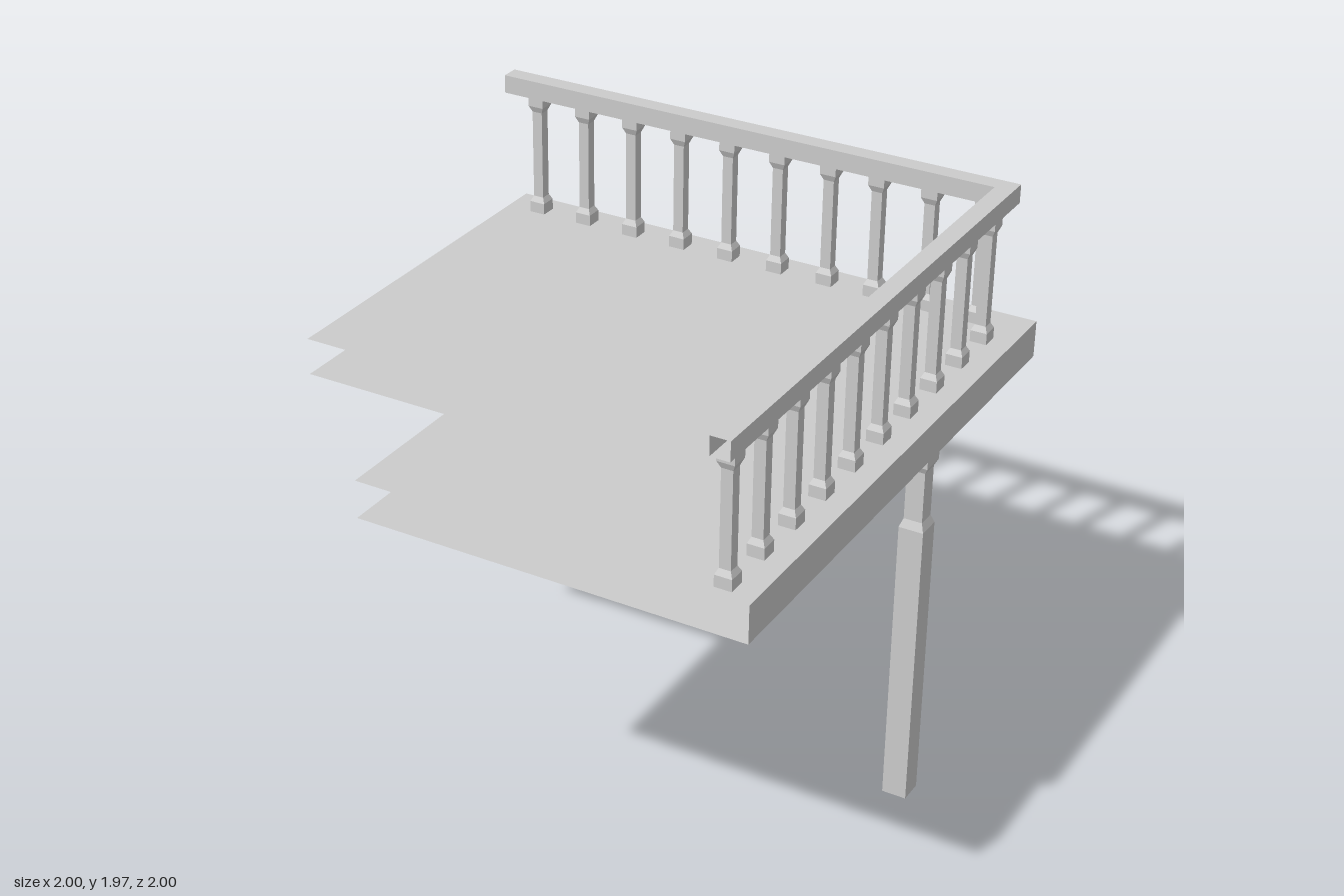
import * as THREE from 'three';

const material = new THREE.MeshStandardMaterial({ color: 0xcccccc, flatShading: true, side: THREE.DoubleSide });

function addMesh(parent, name, geometry) {
  const flat = geometry.index ? geometry.toNonIndexed() : geometry;
  flat.computeVertexNormals();
  const mesh = new THREE.Mesh(flat, material);
  mesh.name = name;
  parent.add(mesh);
  return mesh;
}

// Square turned column from [half width, height] pairs, bottom to top
function squareColumn(profile) {
  const points = profile.map(([half, y]) => new THREE.Vector2(half * Math.SQRT2, y));
  return new THREE.LatheGeometry(points, 4).rotateY(Math.PI / 4);
}

// Skin joining consecutive four-corner sections, open at both ends
function openBeam(sections) {
  const indices = [];
  for (let s = 0; s < sections.length - 1; s++) {
    for (let i = 0; i < 4; i++) {
      const a = s * 4 + i, b = s * 4 + (i + 1) % 4;
      indices.push(a, b, a + 4, b, b + 4, a + 4);
    }
  }
  const geometry = new THREE.BufferGeometry();
  geometry.setAttribute('position', new THREE.Float32BufferAttribute(sections.flat(2), 3));
  geometry.setIndex(indices);
  return geometry;
}

export function createModel() {
  const model = new THREE.Group();
  model.name = 'deck';
  const deckBottom = 1.34, deckTop = 1.47, railBottom = 1.905, railTop = 1.97;

  // L-shaped floor sheets, with a fascia on the back and the left only
  const floor = new THREE.Group();
  floor.name = 'floor';
  model.add(floor);
  const outline = new THREE.Shape(
    [[-1, 1], [-1, -0.333], [-0.333, -0.333], [-0.333, -1], [1, -1], [1, 1]].map(([x, y]) => new THREE.Vector2(x, y))
  );
  addMesh(floor, 'floorTop', new THREE.ShapeGeometry(outline).rotateX(-Math.PI / 2)).position.y = deckTop;
  const underside = new THREE.ShapeGeometry(outline).rotateX(-Math.PI / 2);
  underside.index.array.reverse();
  addMesh(floor, 'floorUnderside', underside).position.y = deckBottom;
  const middle = (deckTop + deckBottom) / 2;
  const fascia = () => new THREE.PlaneGeometry(2, deckTop - deckBottom);
  addMesh(floor, 'backFascia', fascia().rotateY(Math.PI)).position.set(0, middle, -1);
  addMesh(floor, 'leftFascia', fascia().rotateY(Math.PI / 2)).position.set(1, middle, 0);

  // Support posts with a narrow neck
  const postGeometry = squareColumn([
    [0, 0], [0.043, 0], [0.043, 1.05], [0.032, 1.08], [0.032, 1.262], [0.043, 1.285], [0.043, deckBottom]
  ]);
  for (const [x, z] of [[-0.937, -0.937], [0.937, -0.263]]) {
    addMesh(model, 'post', postGeometry).position.set(x, 0, z);
  }

  // Handrail turning the back left corner with a mitre
  const inX = 0.865, outX = 0.93, inZ = -0.877, outZ = -0.94;
  const section = (x1, z1, x2, z2) => [
    [x1, railBottom, z1], [x1, railTop, z1], [x2, railTop, z2], [x2, railBottom, z2]
  ];
  addMesh(model, 'handrail', openBeam([
    section(-1, outZ, -1, inZ),
    section(outX, outZ, inX, inZ),
    section(outX, 1, inX, 1)
  ]));

  // Balusters along both rails
  const balusterGeometry = squareColumn([
    [0.029, deckTop], [0.029, 1.51], [0.019, 1.53], [0.019, 1.852], [0.029, 1.875], [0.029, railBottom]
  ]);
  const balusters = new THREE.Group();
  balusters.name = 'balusters';
  model.add(balusters);
  for (let i = 0; i < 10; i++) {
    const backX = i < 7 ? -0.876 + i * 0.191 : 0.83 - (9 - i) * 0.191;
    addMesh(balusters, 'backBaluster', balusterGeometry).position.set(backX, 0, -0.908);
    addMesh(balusters, 'leftBaluster', balusterGeometry).position.set(0.897, 0, 0.937 - i * 0.1915);
  }
  return model;
}
